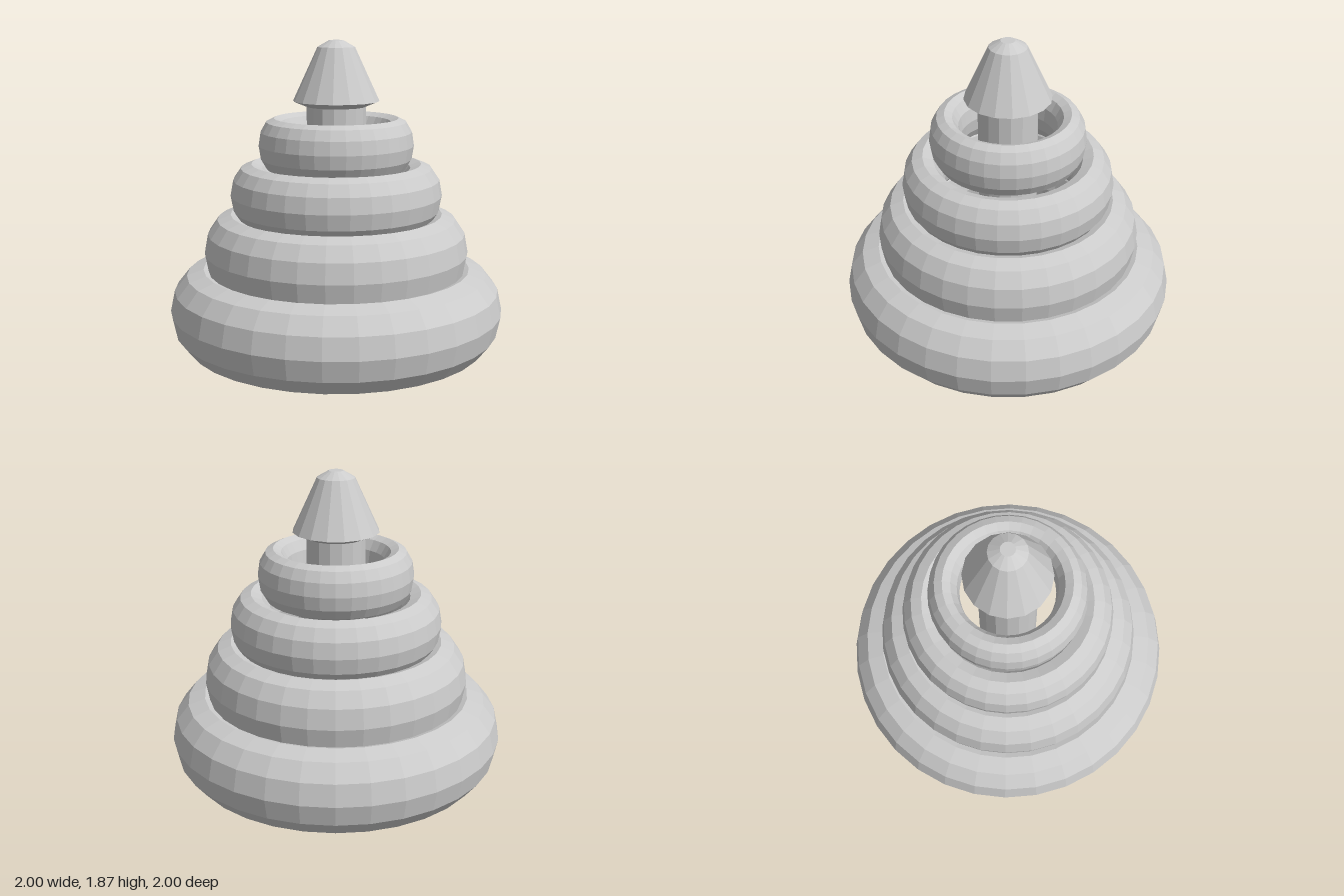
import * as THREE from 'three';

const material = new THREE.MeshStandardMaterial({ color: 0xcccccc, flatShading: true });

// Faceted ring: a 12-sided elliptical section spun round the post
function ring(name, outer, yMid, halfHeight) {
  const radius = outer * 0.8, halfWidth = outer * 0.2;
  const section = [];
  for (let i = 0; i <= 12; i++) {
    const a = (i / 12) * Math.PI * 2;
    section.push(new THREE.Vector2(radius + halfWidth * Math.cos(a), yMid + halfHeight * Math.sin(a)));
  }
  const mesh = new THREE.Mesh(new THREE.LatheGeometry(section, 32), material);
  mesh.name = name;
  return mesh;
}

export function createModel() {
  const model = new THREE.Group();
  model.name = 'stackingRings';

  // Four loose rings, largest at the bottom
  model.add(
    ring('bottomRing', 1.0, 0.27, 0.25),
    ring('lowerMiddleRing', 0.79, 0.62, 0.23),
    ring('upperMiddleRing', 0.63, 0.965, 0.185),
    ring('topRing', 0.46, 1.26, 0.16),
  );

  // Central post
  const post = new THREE.Mesh(new THREE.CylinderGeometry(0.175, 0.175, 1.5, 16), material);
  post.position.y = 0.75;
  post.name = 'post';
  model.add(post);

  // Cone-shaped tip with a bevelled underside and blunted top
  const profile = [[0, 1.487], [0.175, 1.487], [0.255, 1.52], [0.11, 1.834], [0.042, 1.873], [0, 1.873]]
    .map(([x, y]) => new THREE.Vector2(x, y));
  const tip = new THREE.Mesh(new THREE.LatheGeometry(profile, 16), material);
  tip.name = 'coneTip';
  model.add(tip);

  return model;
}
